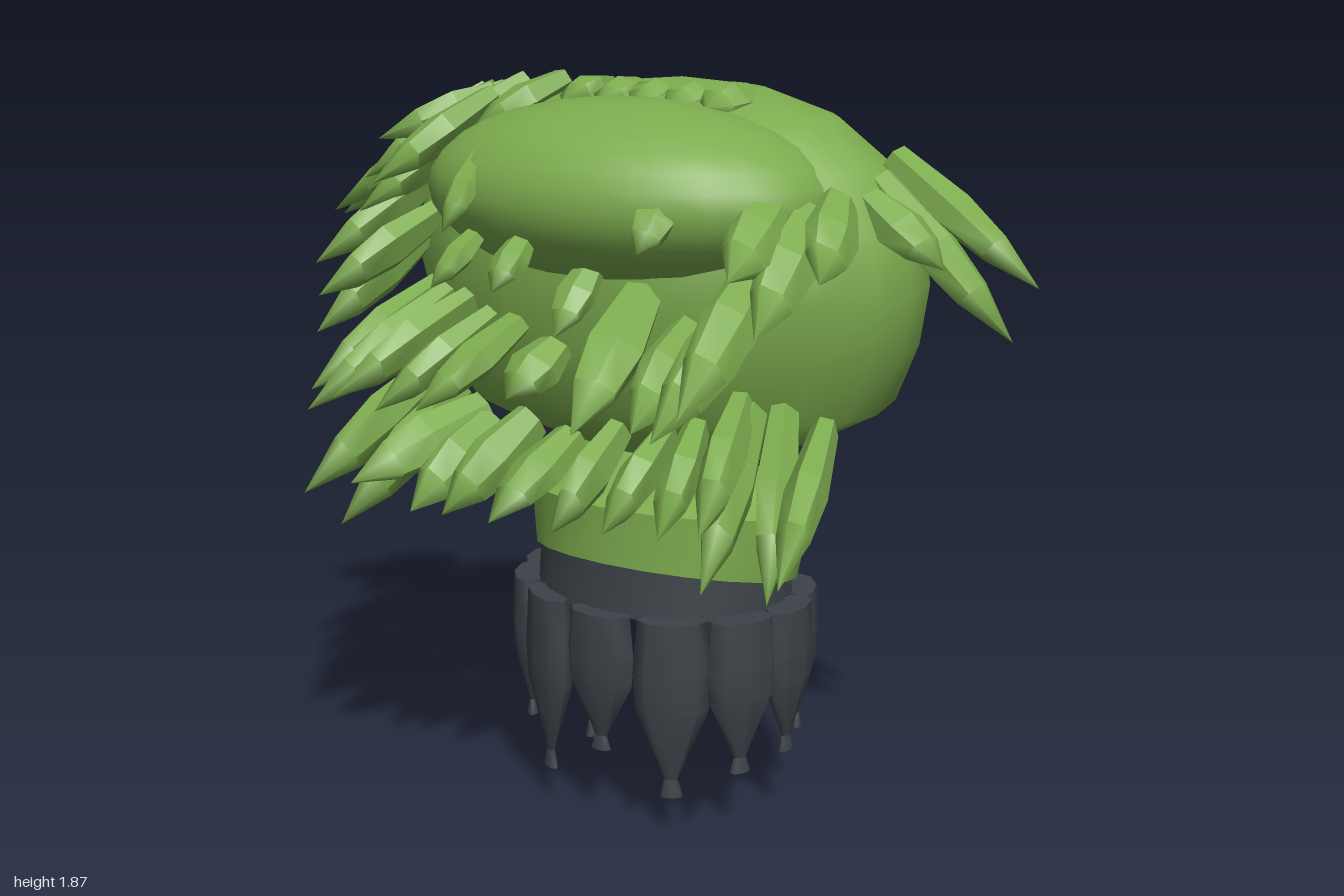
import * as THREE from 'three';
import { toCreasedNormals } from 'three/addons/utils/BufferGeometryUtils.js';

const CX = 0.04; // the body sits slightly off centre

const green = new THREE.MeshStandardMaterial({ name: 'leafGreen', color: 0x7cab4e, side: THREE.DoubleSide });
const slate = new THREE.MeshStandardMaterial({ name: 'slate', color: 0x3c4248, side: THREE.DoubleSide });
const grey = new THREE.MeshStandardMaterial({ name: 'warmGrey', color: 0x7d736e });

function add(parent, name, geometry, material) {
  const mesh = new THREE.Mesh(geometry, material);
  mesh.name = name;
  parent.add(mesh);
  return mesh;
}

// Skin through oval rings, bottom to top: [yFront, yBack, zFront, zBack, halfWidth]
// mid tells how far forward each ring is widest (0.5 = plain ellipse)
function loft(rings, crease, mid = 0.5, n = 20) {
  const pos = [], index = [];
  for (const [yf, yb, zf, zb, rx] of rings) {
    const zc = zb + (zf - zb) * mid;
    for (let j = 0; j < n; j++) {
      const a = (j / n) * Math.PI * 2, c = Math.cos(a);
      const z = zc + c * (c > 0 ? zf - zc : zc - zb);
      const k = (z - zb) / (zf - zb);
      pos.push(CX + rx * Math.sin(a), yb + (yf - yb) * k, z);
    }
  }
  for (let i = 0; i < rings.length - 1; i++) {
    for (let j = 0; j < n; j++) {
      const a = i * n + j, b = i * n + (j + 1) % n;
      index.push(a, b, b + n, a, b + n, a + n);
    }
  }
  const g = new THREE.BufferGeometry();
  g.setAttribute('position', new THREE.Float32BufferAttribute(pos, 3));
  g.setIndex(index);
  return toCreasedNormals(g, crease);
}

function lathe(points, sides) {
  const g = new THREE.LatheGeometry(points.map(([r, y]) => new THREE.Vector2(r, y)), sides);
  return toCreasedNormals(g, 0.8);
}

// Unit leaf along +y, unit claw along -y
const leafShape = lathe([[0, 0], [0.68, 0], [1, 0.42], [0.76, 0.7], [0, 1]], 6);
const clawShape = lathe([[0, -1], [0.3, -1], [0.18, -0.9], [0.36, -0.8], [0.94, -0.5], [1, -0.3], [0.88, 0], [0, 0]], 8);

const heart = new THREE.Vector3(CX, 1.35, -0.15);

// Leaf from root to tip, its flat side facing away from the middle of the body
function leaf(parent, name, [x, y, z, tx, ty, tz], width) {
  const root = new THREE.Vector3(x, y, z);
  const along = new THREE.Vector3(tx, ty, tz).sub(root);
  const length = along.length();
  along.normalize();
  const out = root.clone().sub(heart);
  out.addScaledVector(along, -out.dot(along)).normalize();
  const side = new THREE.Vector3().crossVectors(along, out);
  const mesh = add(parent, name, leafShape, green);
  mesh.quaternion.setFromRotationMatrix(new THREE.Matrix4().makeBasis(side, along, out));
  mesh.position.copy(root);
  mesh.scale.set(width / 2, length, width * 0.34);
}

// Rows of leaves: rootX, rootY, rootZ, tipX, tipY, tipZ
const lowerRow = [
  [-0.47, 1.14, 0.12, -0.62, 0.86, 0.5], [-0.39, 1.09, 0.15, -0.52, 0.79, 0.48],
  [-0.28, 1.06, 0.2, -0.42, 0.93, 0.55], [-0.26, 1.03, 0.2, -0.28, 0.87, 0.5],
  [-0.12, 1.06, 0.22, -0.2, 0.87, 0.48], [-0.02, 1.03, 0.2, -0.07, 0.87, 0.47],
  [0.12, 1.06, 0.2, 0.1, 0.87, 0.46], [0.25, 1.07, 0.2, 0.27, 0.91, 0.5],
  [0.33, 1.09, 0.2, 0.43, 0.93, 0.52], [0.46, 1.14, 0.16, 0.57, 0.85, 0.57],
  [0.52, 1.14, 0.12, 0.68, 0.82, 0.48], [0.6, 1.1, 0.08, 0.76, 0.9, 0.58],
  [0.44, 1.16, 0.18, 0.57, 0.98, 0.58],
];
const middleRow = [
  [-0.48, 1.33, 0.12, -0.58, 1.13, 0.5], [-0.4, 1.33, 0.18, -0.53, 1.1, 0.57],
  [-0.31, 1.33, 0.22, -0.42, 1.15, 0.6], [-0.23, 1.3, 0.24, -0.31, 1.13, 0.58],
  [-0.14, 1.3, 0.25, -0.23, 1.13, 0.53], [-0.02, 1.26, 0.26, -0.05, 1.16, 0.42],
  [0.22, 1.41, 0.25, 0.28, 1.17, 0.63], [0.33, 1.33, 0.22, 0.38, 1.17, 0.55],
  [0.46, 1.41, 0.18, 0.46, 1.17, 0.6], [0.49, 1.5, 0.17, 0.55, 1.24, 0.64],
  [0.56, 1.6, 0.1, 0.62, 1.38, 0.45], [0.6, 1.62, 0.04, 0.68, 1.48, 0.28],
  [0.5, 1.62, 0.14, 0.56, 1.5, 0.46],
];
const upperCluster = [
  [-0.38, 1.83, -0.12, -0.5, 1.67, 0.15], [-0.26, 1.84, -0.12, -0.37, 1.73, 0.12],
  [-0.45, 1.8, -0.14, -0.64, 1.7, 0.15], [-0.46, 1.72, 0, -0.58, 1.54, 0.3],
  [-0.52, 1.62, 0.05, -0.64, 1.42, 0.4], [-0.4, 1.8, 0, -0.49, 1.62, 0.35],
  [-0.47, 1.52, 0.14, -0.56, 1.36, 0.48], [-0.52, 1.48, 0.1, -0.6, 1.26, 0.45],
  [-0.45, 1.81, -0.1, -0.7, 1.66, 0.05],
];
const browLeaves = [
  [-0.2, 1.7, 0.3, -0.2, 1.54, 0.45], [0.31, 1.64, 0.3, 0.31, 1.53, 0.42],
  [-0.2, 1.52, 0.32, -0.23, 1.41, 0.46], [-0.04, 1.53, 0.35, -0.04, 1.42, 0.48],
  [0.1, 1.47, 0.28, 0.11, 1.33, 0.45],
];
const leftTuft = [
  [0.62, 1.7, -0.2, 0.99, 1.43, -0.19], [0.62, 1.66, -0.11, 0.95, 1.31, -0.15],
  [0.63, 1.62, -0.05, 0.83, 1.48, -0.03], [0.6, 1.68, -0.2, 0.84, 1.55, -0.24],
];
const rightTuft = [
  [-0.54, 1.72, -0.2, -1, 1.38, -0.2], [-0.52, 1.74, -0.14, -1, 1.45, -0.11],
  [-0.5, 1.76, -0.08, -0.97, 1.47, -0.04], [-0.5, 1.8, -0.2, -0.8, 1.66, -0.17],
  [-0.5, 1.8, -0.12, -0.68, 1.6, 0.16],
];
const whiskers = [
  [0.22, 0.97, -0.3, 0.29, 0.96, -0.55], [0.18, 0.92, -0.3, 0.25, 0.92, -0.52],
  [-0.16, 0.97, -0.42, -0.25, 0.96, -0.58], [-0.14, 0.92, -0.36, -0.24, 0.92, -0.52],
  [0.08, 0.87, -0.45, 0.13, 0.93, -0.52],
];

export function createModel() {
  const model = new THREE.Group();
  model.name = 'leafyCreature';

  // Domed body with a flat underside drawn into a pinched waist
  add(model, 'body', loft([
    [0.92, 0.94, -0.07, -0.23, 0.25],
    [1.0, 0.99, 0.1, -0.25, 0.38],
    [1.05, 1.06, 0.18, -0.32, 0.5],
    [1.1, 1.1, 0.22, -0.66, 0.59],
    [1.25, 1.25, 0.26, -0.65, 0.66],
    [1.4, 1.4, 0.28, -0.635, 0.69],
    [1.55, 1.55, 0.27, -0.61, 0.67],
    [1.68, 1.68, 0.2, -0.53, 0.59],
    [1.78, 1.78, 0.08, -0.45, 0.44],
    [1.84, 1.84, -0.04, -0.34, 0.24],
    [1.86, 1.86, -0.199, -0.201, 0],
  ], Math.PI, 0.6), green);

  // Swollen brow
  const brow = add(model, 'brow', new THREE.SphereGeometry(1, 24, 16), green);
  brow.position.set(0.05, 1.61, 0.07);
  brow.scale.set(0.53, 0.22, 0.34);

  // Mouth under the back of the body
  const mouth = add(model, 'mouth', new THREE.SphereGeometry(1, 20, 12), grey);
  mouth.position.set(CX, 1.03, -0.405);
  mouth.scale.set(0.28, 0.125, 0.165);

  // Tilted collar rising to the waist
  add(model, 'collar', loft([
    [0.7, 0.57, 0.155, -0.43, 0.355],
    [0.845, 0.765, 0.155, -0.48, 0.38],
    [0.89, 0.87, 0.0, -0.27, 0.28],
    [0.93, 0.94, -0.07, -0.23, 0.25],
  ], 0.75), green);

  // Dark ring and the claws hanging from it
  add(model, 'baseRing', loft([
    [0.57, 0.57, 0.16, -0.43, 0.345],
    [0.72, 0.66, 0.15, -0.41, 0.335],
  ], 0.75), slate);
  const claws = new THREE.Group();
  claws.name = 'claws';
  model.add(claws);
  const tipHeights = [0.21, 0.11, 0.17, 0.19, 0.19, 0.22, 0.22, 0.22, 0, 0.2, 0.18, 0.1];
  tipHeights.forEach((tip, i) => {
    const a = (i / 12) * Math.PI * 2;
    const claw = add(claws, 'claw', clawShape, slate);
    claw.position.set(CX + 0.37 * Math.sin(a), 0.58, -0.13 + 0.295 * Math.cos(a));
    claw.rotation.y = a;
    claw.scale.set(0.098, 0.58 - tip, 0.05);
  });

  // Leaves
  const rows = { lowerRow, middleRow, upperCluster, browLeaves, leftTuft, rightTuft, whiskers };
  const widths = { browLeaves: 0.1, whiskers: 0.018 };
  for (const [name, list] of Object.entries(rows)) {
    const group = new THREE.Group();
    group.name = name;
    model.add(group);
    for (const l of list) leaf(group, 'leaf', l, widths[name] ?? 0.145);
  }

  // Short crest between dome and brow
  for (let i = 0; i < 5; i++) {
    const x = -0.15 + i * 0.1;
    leaf(model, 'crestLeaf', [x, 1.83, -0.14, x, 1.81, 0.04], 0.13);
  }
  return model;
}
